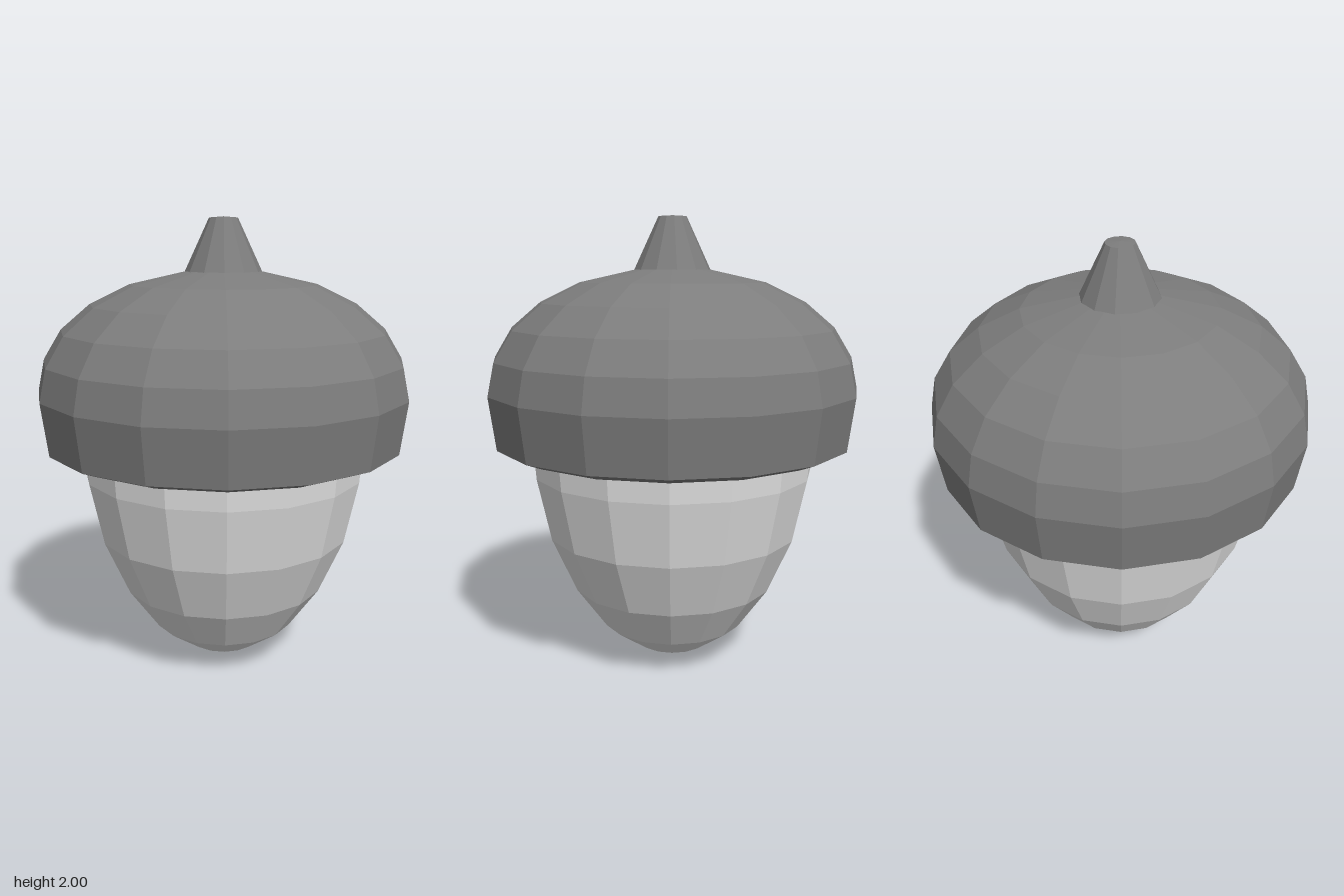
import * as THREE from 'three';

// Faceted lathe part from [radius, y] points listed bottom to top
function turned(name, points, sides, material) {
  const profile = points.map(([r, y]) => new THREE.Vector2(r, y));
  const geometry = new THREE.LatheGeometry(profile, sides).toNonIndexed();
  geometry.computeVertexNormals();
  const mesh = new THREE.Mesh(geometry, material);
  mesh.name = name;
  return mesh;
}

export function createModel() {
  const shell = new THREE.MeshStandardMaterial({ color: 0xe0e0e0, flatShading: true });
  shell.name = 'pale shell';
  const bark = new THREE.MeshStandardMaterial({ color: 0x7d7d7d, flatShading: true });
  bark.name = 'grey bark';

  const acorn = new THREE.Group();
  acorn.name = 'acorn';

  // Nut, running up inside the cap
  acorn.add(turned('nut', [
    [0, 0], [0.165, 0.045], [0.325, 0.16], [0.46, 0.35],
    [0.57, 0.6], [0.63, 0.88], [0.64, 1.02],
  ], 16, shell));

  // Cap with a bevelled lower rim and closed underside
  acorn.add(turned('cap', [
    [0, 0.99], [0.72, 0.99], [0.795, 1.02], [0.825, 1.25], [0.795, 1.39],
    [0.715, 1.52], [0.585, 1.63], [0.41, 1.715], [0.165, 1.77], [0, 1.78],
  ], 16, bark));

  // Tapered stem
  acorn.add(turned('stem', [
    [0.17, 1.765], [0.062, 1.995], [0, 2],
  ], 12, bark));

  return acorn;
}
